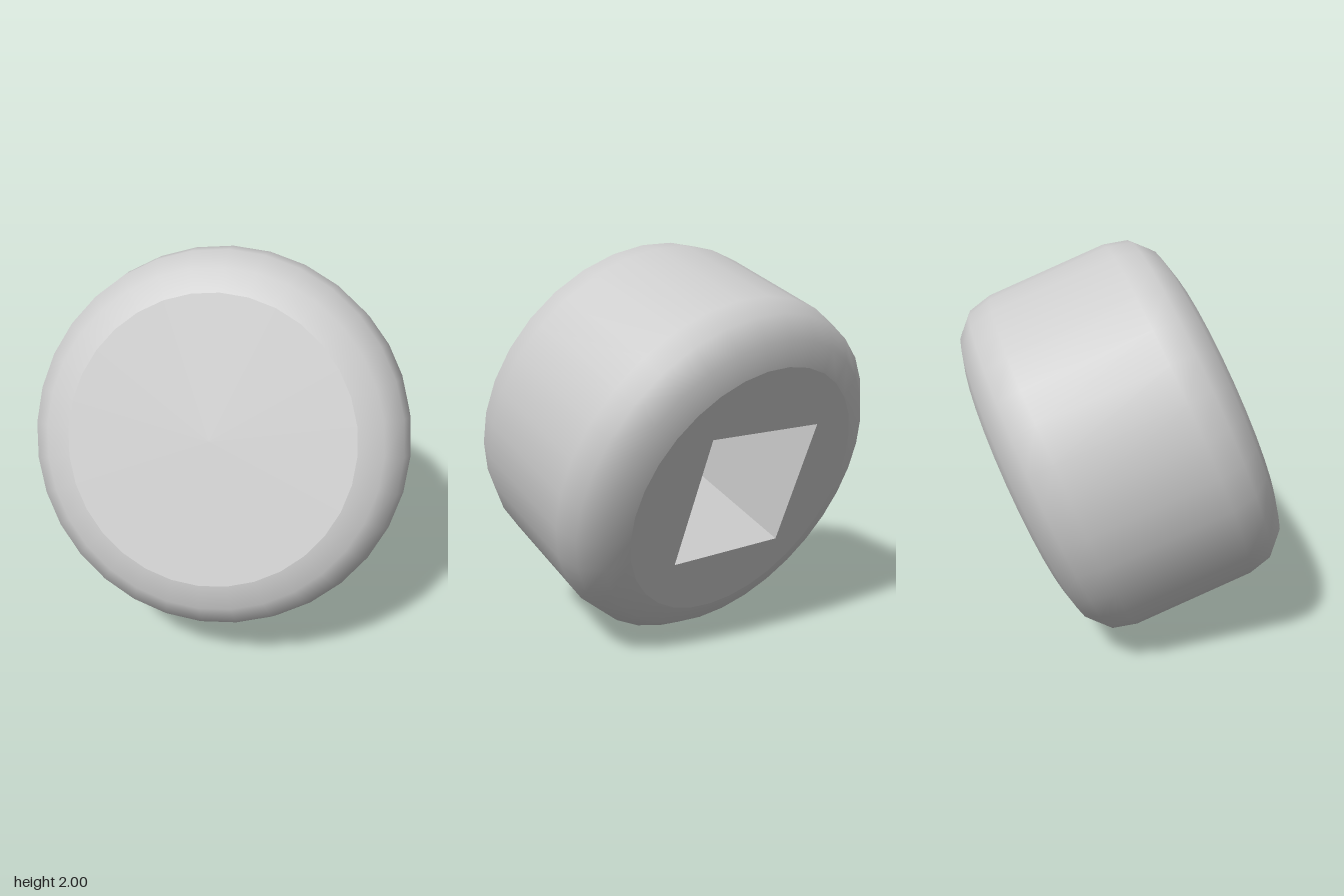
import * as THREE from 'three';
import { mergeGeometries } from 'three/addons/utils/BufferGeometryUtils.js';

const SIDES = 32;
const CAP_Y = 0.563; // half thickness along the drum axis
const CAP_R = 0.69;  // radius of the flat end faces
const HOLE = 0.7;    // side of the square socket
const DEPTH = 0.68;  // depth of the socket

export function createModel() {
  const grey = new THREE.MeshStandardMaterial({ color: 0xcccccc });
  grey.name = 'grey';

  const model = new THREE.Group();
  model.name = 'roundedDrum';
  const drum = new THREE.Group();
  drum.name = 'tiltedDrum';
  model.add(drum);

  const add = (name, geometry) => {
    const mesh = new THREE.Mesh(geometry, grey);
    mesh.name = name;
    drum.add(mesh);
  };

  // Side wall with rounded rims, mirrored front to back
  const rim = [[0.93, 0.315], [0.9, 0.438], [0.81, 0.527], [CAP_R, CAP_Y]];
  const profile = [
    ...rim.slice().reverse().map(([r, y]) => new THREE.Vector2(r, -y)),
    ...rim.map(([r, y]) => new THREE.Vector2(r, y)),
  ];
  add('sideWall', new THREE.LatheGeometry(profile, SIDES));

  // Flat front face
  const front = new THREE.CircleGeometry(CAP_R, SIDES);
  front.rotateX(-Math.PI / 2).translate(0, CAP_Y, 0);
  add('frontFace', front);

  // Flat back face with a square opening
  const ring = [];
  for (let i = 0; i < SIDES; i++) {
    const a = (i / SIDES) * Math.PI * 2;
    ring.push(new THREE.Vector2(Math.cos(a) * CAP_R, Math.sin(a) * CAP_R));
  }
  const backShape = new THREE.Shape(ring);
  const h = HOLE / 2;
  backShape.holes.push(new THREE.Path(
    [[-h, -h], [-h, h], [h, h], [h, -h]].map(([x, y]) => new THREE.Vector2(x, y))
  ));
  const back = new THREE.ShapeGeometry(backShape);
  back.rotateX(Math.PI / 2).translate(0, -CAP_Y, 0);
  add('backFace', back);

  // Socket: four inward-facing walls and a floor
  const socket = [];
  for (let i = 0; i < 4; i++) {
    const wall = new THREE.PlaneGeometry(HOLE, DEPTH);
    wall.translate(0, -CAP_Y + DEPTH / 2, -h).rotateY(i * Math.PI / 2);
    socket.push(wall);
  }
  const floor = new THREE.PlaneGeometry(HOLE, HOLE);
  floor.rotateX(Math.PI / 2).translate(0, -CAP_Y + DEPTH, 0);
  socket.push(floor);
  add('squareSocket', mergeGeometries(socket));

  // Lean the drum back so its front face looks slightly upward
  drum.rotation.x = THREE.MathUtils.degToRad(67.5);
  drum.position.y = 1;
  return model;
}
